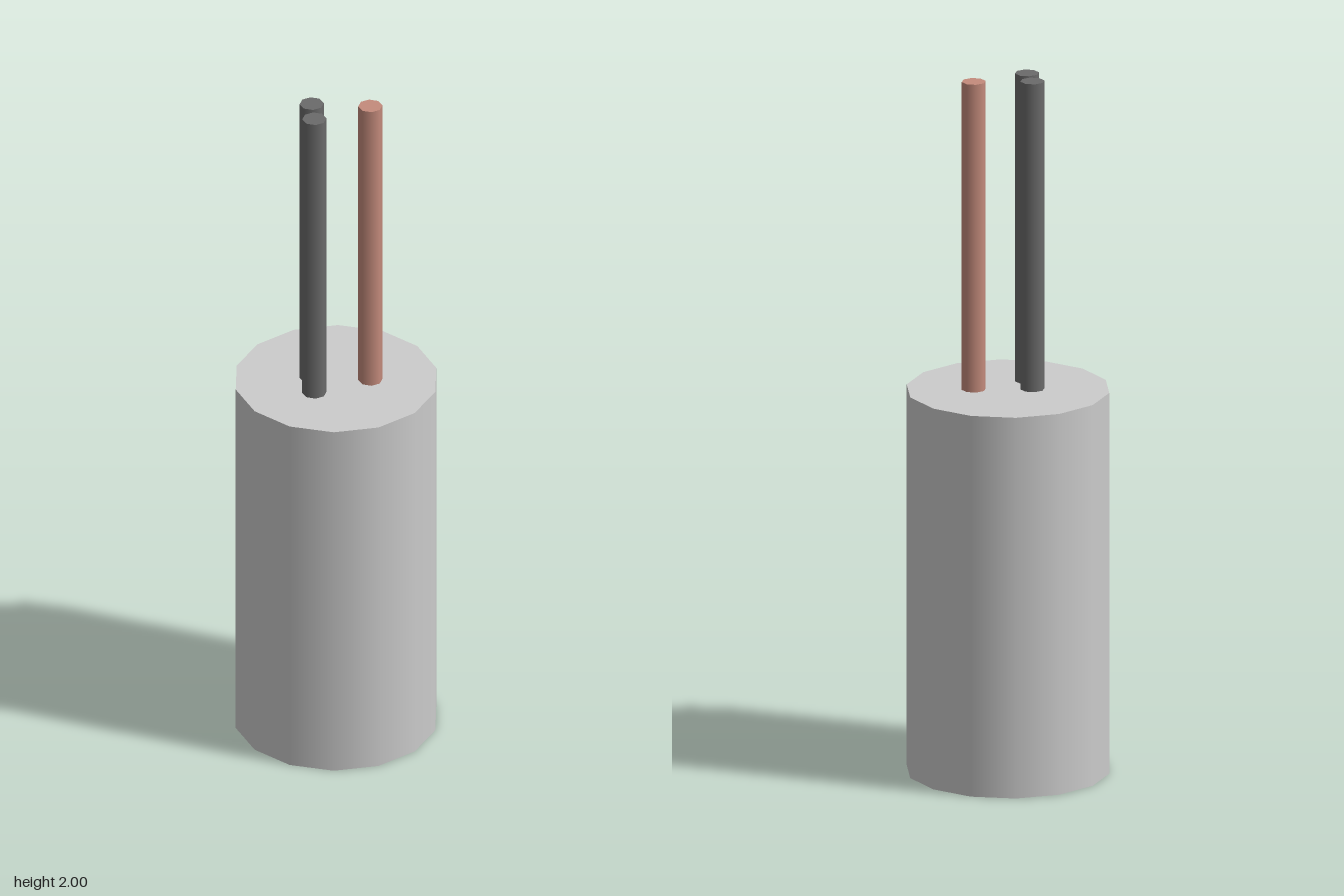
import * as THREE from 'three';

const BODY_HEIGHT = 1.106;
const TOP = 2;

// Upright capped rod with a corner pointing along +x
function rod(name, radius, sides, bottom, top, x, z, color) {
  const geometry = new THREE.CylinderGeometry(radius, radius, top - bottom, sides, 1, false, Math.PI / 2);
  const mesh = new THREE.Mesh(geometry, new THREE.MeshStandardMaterial({ color }));
  mesh.name = name;
  mesh.position.set(x, (bottom + top) / 2, z);
  return mesh;
}

export function createModel() {
  const model = new THREE.Group();
  model.name = 'cylinderWithLeads';

  // Main body
  model.add(rod('body', 0.285, 14, 0, BODY_HEIGHT, 0, 0, 0xcccccc));

  // Leads standing on the top face
  const leads = [
    ['redLead', 0.076, -0.058, 0xc48b7c],
    ['darkLeadSide', -0.057, 0.037, 0x6b6b6b],
    ['darkLeadFront', 0, 0.094, 0x6b6b6b],
  ];
  for (const [name, x, z, color] of leads) {
    model.add(rod(name, 0.034, 8, BODY_HEIGHT, TOP, x, z, color));
  }
  return model;
}
